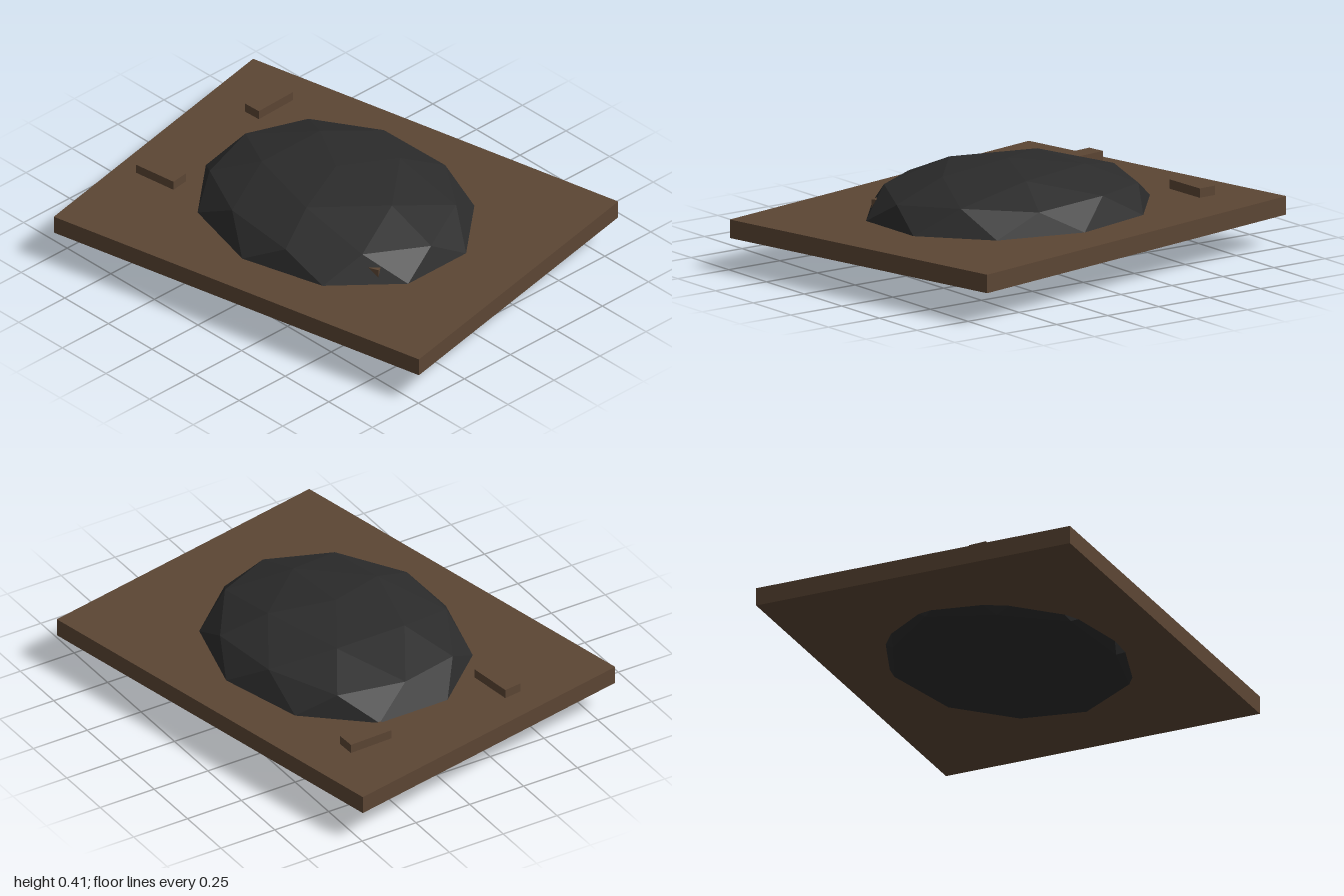
import * as THREE from 'three';

export function createModel() {
  const model = new THREE.Group();
  const wood = new THREE.MeshStandardMaterial({ color: 0x5c4634 });
  wood.name = 'brown wood';
  const stone = new THREE.MeshStandardMaterial({ color: 0x2b2b2b, flatShading: true });
  stone.name = 'charcoal stone';

  function box(name, w, h, d, x, y, z, turn) {
    const mesh = new THREE.Mesh(new THREE.BoxGeometry(w, h, d), wood);
    mesh.name = name;
    mesh.position.set(x, y, z);
    mesh.rotation.y = turn;
    model.add(mesh);
  }

  // Turned base slab
  box('baseSlab', 1.76, 0.075, 1.368, 0, 0.168, 0, 0.2);

  // Faceted mound: icosphere with one corner turned straight up, then flattened
  const mound = new THREE.IcosahedronGeometry(1, 1);
  mound.rotateX(-Math.atan((1 + Math.sqrt(5)) / 2));
  mound.rotateY(Math.PI / 2);
  mound.scale(0.61, 0.204, 0.51);
  mound.translate(0, 0.205, 0);
  mound.computeVertexNormals();
  const mesh = new THREE.Mesh(mound, stone);
  mesh.name = 'mound';
  model.add(mesh);

  // Small loose blocks: x, z, turn; the last two are almost buried in the mound
  const blocks = [
    [-0.69, -0.29, Math.PI / 2 + 0.03],
    [-0.617, 0.367, 0.125],
    [0.39, 0.238, 0.385],
    [0.172, 0.364, 0],
  ];
  blocks.forEach(([x, z, turn], i) =>
    box(`looseBlock${i + 1}`, 0.192, 0.038, 0.077, x, 0.246, z, turn));

  return model;
}
